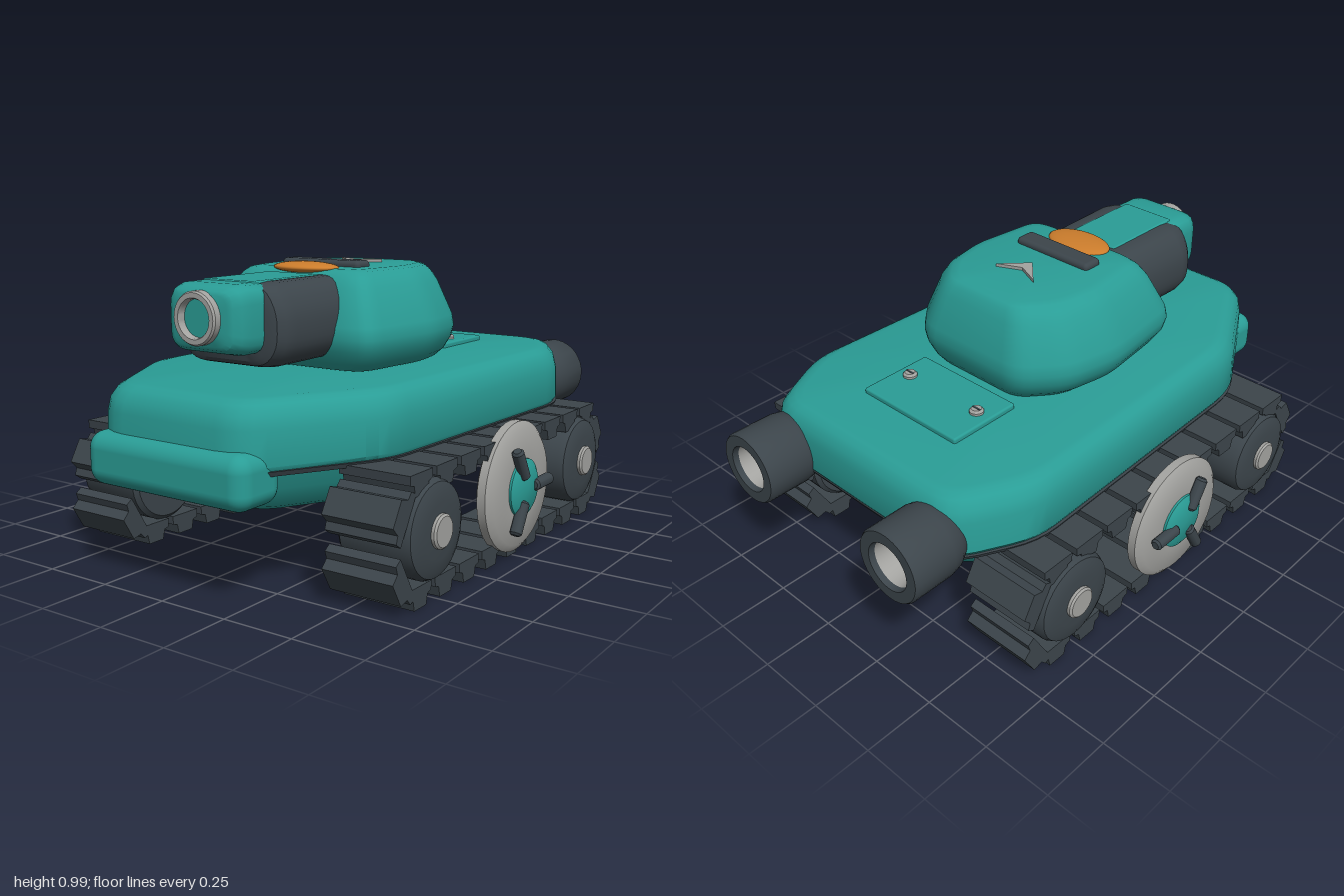
import * as THREE from 'three';
import { toCreasedNormals } from 'three/addons/utils/BufferGeometryUtils.js';
import { RoundedBoxGeometry } from 'three/addons/geometries/RoundedBoxGeometry.js';

const mat = (color) => new THREE.MeshStandardMaterial({ color });
const TEAL = mat(0x2a9d96), DARK = mat(0x3c454b), GREY = mat(0xa3a3a0), ORANGE = mat(0xcc7d2c);

function add(parent, name, geometry, material, x = 0, y = 0, z = 0) {
  const mesh = new THREE.Mesh(geometry, material);
  mesh.name = name;
  mesh.position.set(x, y, z);
  parent.add(mesh);
  return mesh;
}

// Closed symmetric outline from its +x half (front to back), with rounded corners
function outline(half, r) {
  const corners = [...half, ...half.map(([x, z]) => [-x, z]).reverse()].map((p) => new THREE.Vector2(...p));
  const n = corners.length, out = [];
  corners.forEach((c, i) => {
    const toward = (o) => {
      const d = o.clone().sub(c);
      return c.clone().addScaledVector(d, Math.min(r / d.length(), 0.45));
    };
    const curve = new THREE.QuadraticBezierCurve(toward(corners[(i + n - 1) % n]), c, toward(corners[(i + 1) % n]));
    out.push(...curve.getPoints(4));
  });
  return out;
}

// Capped loft of one outline; rings are [y, x scale, z scale] from bottom to top
function loft(half, r, rings, crease = 0.6) {
  const line = outline(half, r), n = line.length, pos = [], idx = [];
  for (const [y, sx, sz] of rings) for (const p of line) pos.push(p.x * sx, y, p.y * sz);
  const last = rings.length - 1, bottom = pos.length / 3, top = bottom + 1;
  pos.push(0, rings[0][0], 0, 0, rings[last][0], 0);
  for (let i = 0; i < n; i++) {
    const j = (i + 1) % n;
    for (let k = 0; k < last; k++) {
      const a = k * n, b = a + n;
      idx.push(a + i, a + j, b + j, a + i, b + j, b + i);
    }
    idx.push(bottom, j, i, top, last * n + i, last * n + j);
  }
  const g = new THREE.BufferGeometry();
  g.setAttribute('position', new THREE.Float32BufferAttribute(pos, 3));
  g.setIndex(idx);
  g.computeVertexNormals();
  return toCreasedNormals(g, crease);
}

const lathe = (points, segments = 40) =>
  toCreasedNormals(new THREE.LatheGeometry(points.map((p) => new THREE.Vector2(...p)), segments), 0.6);

function extrude(points, depth, bevel = 0) {
  return new THREE.ExtrudeGeometry(new THREE.Shape(points.map((p) => new THREE.Vector2(...p))), {
    depth, bevelEnabled: bevel > 0, bevelSize: bevel, bevelThickness: bevel, bevelSegments: 2,
  });
}

function buildHull(root) {
  const hull = new THREE.Group();
  hull.name = 'hull';
  root.add(hull);
  const plan = [[0.28, 0.96], [0.53, 0.53], [0.565, -0.57], [0.43, -0.83]];
  add(hull, 'upperHull', loft(plan, 0.09, [
    [0.43, 0.98, 0.985], [0.45, 1, 1], [0.56, 0.995, 0.995], [0.6, 0.98, 0.985], [0.63, 0.945, 0.96], [0.642, 0.91, 0.935], [0.646, 0.87, 0.91],
  ]), TEAL);
  add(hull, 'trimBand', loft(plan, 0.09, [[0.42, 0.995, 0.985], [0.436, 1.005, 0.995]]), DARK);
  add(hull, 'lowerHull', loft(plan, 0.09, [[0.28, 0.78, 0.82], [0.295, 0.83, 0.85], [0.36, 0.9, 0.89], [0.43, 0.95, 0.92]]), TEAL);
  add(hull, 'frontBumper', new RoundedBoxGeometry(0.65, 0.175, 0.2, 5, 0.055), TEAL, 0, 0.412, 0.9);

  // Engine cover with two bolts
  add(hull, 'engineCover', new RoundedBoxGeometry(0.44, 0.036, 0.28, 2, 0.008), TEAL, 0, 0.646, -0.447);
  for (const s of [-1, 1]) {
    add(hull, 'coverBolt', lathe([[0.025, 0], [0.025, 0.01], [0.018, 0.018], [0, 0.018]], 16), GREY, s * 0.162, 0.662, -0.43);
    add(hull, 'boltSlot', new THREE.BoxGeometry(0.034, 0.003, 0.007), DARK, s * 0.162, 0.68, -0.43);
  }

  // Hollow exhausts
  for (const s of [-1, 1]) {
    const shell = lathe([[0, 0], [0.06, 0.005], [0.1, 0.05], [0.122, 0.09], [0.13, 0.13], [0.13, 0.28], [0.124, 0.29], [0.085, 0.29], [0.075, 0.23]]);
    add(hull, 'exhaust', shell.rotateX(-Math.PI / 2), DARK, s * 0.35, 0.48, -0.71);
    const bowl = lathe([[0.08, 0.27], [0.07, 0.2], [0, 0.19]]);
    add(hull, 'exhaustLining', bowl.rotateX(-Math.PI / 2), GREY, s * 0.35, 0.48, -0.71);
  }
}

function buildTurret(root) {
  const turret = new THREE.Group();
  turret.name = 'turret';
  root.add(turret);
  add(turret, 'turretRing', new THREE.CylinderGeometry(0.26, 0.28, 0.06, 40), TEAL, 0, 0.655, 0.03);
  add(turret, 'turretShell', loft([[0.27, 0.4], [0.345, 0.37], [0.385, 0.03], [0.345, -0.17], [0.22, -0.31]], 0.06, [
    [0.65, 0.82, 0.86], [0.675, 0.9, 0.92], [0.72, 0.975, 0.98], [0.76, 1, 1], [0.8, 0.98, 0.985],
    [0.92, 0.83, 0.855], [0.955, 0.76, 0.8], [0.972, 0.7, 0.75], [0.978, 0.62, 0.68],
  ], 0.7), TEAL);

  // Gun housing, lofted along z
  add(turret, 'gunMantlet', loft([[0.165, 0.135], [0.225, 0.07], [0.225, -0.05], [0.17, -0.135]], 0.05, [
    [0.28, 0.95, 1], [0.6, 1, 1], [0.645, 0.96, 0.97], [0.67, 0.88, 0.92], [0.68, 0.75, 0.82],
  ]).rotateX(Math.PI / 2), DARK, 0, 0.825, 0);
  add(turret, 'barrelSpine', new RoundedBoxGeometry(0.215, 0.1, 0.34, 3, 0.01), TEAL, 0, 0.914, 0.5);
  add(turret, 'gunBarrel', loft([[0.155, 0.11], [0.155, -0.11]], 0.06, [
    [0.62, 0.85, 0.9], [0.65, 1, 1], [0.735, 1, 1], [0.77, 0.93, 0.93], [0.793, 0.82, 0.82], [0.8, 0.7, 0.72],
  ]).rotateX(Math.PI / 2), TEAL, 0, 0.85, 0);
  add(turret, 'muzzleRing', lathe([[0.085, 0], [0.085, 0.058], [0.08, 0.065], [0.064, 0.065], [0.06, 0.058], [0.06, 0.01]])
    .rotateX(Math.PI / 2), GREY, 0, 0.857, 0.765);
  add(turret, 'muzzleCore', new THREE.CircleGeometry(0.062, 32), TEAL, 0, 0.857, 0.804);

  // Roof details
  const lens = new THREE.SphereGeometry(1, 32, 16).scale(0.128, 0.02, 0.077);
  add(turret, 'roofLamp', lens, ORANGE, 0, 0.978, 0.262);
  add(turret, 'roofBar', new RoundedBoxGeometry(0.33, 0.035, 0.08, 3, 0.016), DARK, 0, 0.982, 0.148);
  const chevron = extrude([[-0.088, 0.075], [0, -0.016], [0.088, 0.075], [0, 0.035]], 0.014);
  add(turret, 'roofChevron', chevron.rotateX(-Math.PI / 2), GREY, 0, 0.975, 0);
}

function buildRunningGear(root, s) {
  const side = new THREE.Group();
  side.name = s > 0 ? 'leftRunningGear' : 'rightRunningGear';
  root.add(side);
  const axle = (points) => lathe(points).rotateZ(-s * Math.PI / 2);

  // Front and rear rollers
  for (const z of [0.525, -0.525]) {
    add(side, 'roller', axle([[0, 0], [0.145, 0], [0.16, 0.015], [0.16, 0.24], [0.15, 0.262], [0.13, 0.27], [0.09, 0.275], [0, 0.275]]), DARK, s * 0.425, 0.235, z);
    add(side, 'rollerCap', axle([[0.055, 0], [0.055, 0.02], [0.048, 0.026], [0, 0.026]]), GREY, s * 0.69, 0.235, z);
  }

  // Large centre wheel with hub and three spokes
  add(side, 'centreWheel', axle([[0, 0], [0.19, 0], [0.225, 0.02], [0.225, 0.05], [0.2, 0.068], [0.11, 0.072], [0, 0.072]]), GREY, s * 0.638, 0.252, 0);
  add(side, 'centreHub', axle([[0.1, 0], [0.1, 0.018], [0.08, 0.03], [0, 0.034]]), TEAL, s * 0.7, 0.252, 0);
  for (let i = 0; i < 3; i++) {
    const a = i * Math.PI * 2 / 3, y = Math.sin(a), z = -Math.cos(a);
    const spoke = lathe([[0, -0.06], [0.014, -0.06], [0.021, -0.052], [0.021, 0.052], [0.014, 0.06], [0, 0.06]], 16);
    add(side, 'hubSpoke', spoke, DARK, s * 0.729, 0.252 + y * 0.107, z * 0.107).rotation.x = Math.atan2(z, y);
  }

  // Track links: straight runs plus tilted links at the ends
  const link = extrude([[-0.064, 0.035], [-0.062, 0.005], [-0.042, 0], [-0.034, -0.035],
    [0.034, -0.035], [0.042, 0], [0.062, 0.005], [0.064, 0.035]], 0.255)
    .translate(0, 0, -0.1275).rotateY(Math.PI / 2);
  for (let k = -4; k <= 4; k++) {
    add(side, 'trackLink', link, DARK, s * 0.548, 0.043, k * 0.149);
    add(side, 'trackLink', link, DARK, s * 0.548, 0.395, k * 0.149);
  }
  for (const e of [-1, 1]) {
    for (const [y, tilt] of [[0.103, Math.PI / 3], [0.315, Math.PI * 2 / 3]]) {
      const end = add(side, 'endTrackLink', link, DARK, s * 0.548, y, e * 0.697);
      end.rotation.x = -e * tilt;
      end.scale.z = 1.3;
    }
  }
}

export function createModel() {
  const root = new THREE.Group();
  root.name = 'tank';
  buildHull(root);
  buildTurret(root);
  for (const s of [1, -1]) buildRunningGear(root, s);
  return root;
}
